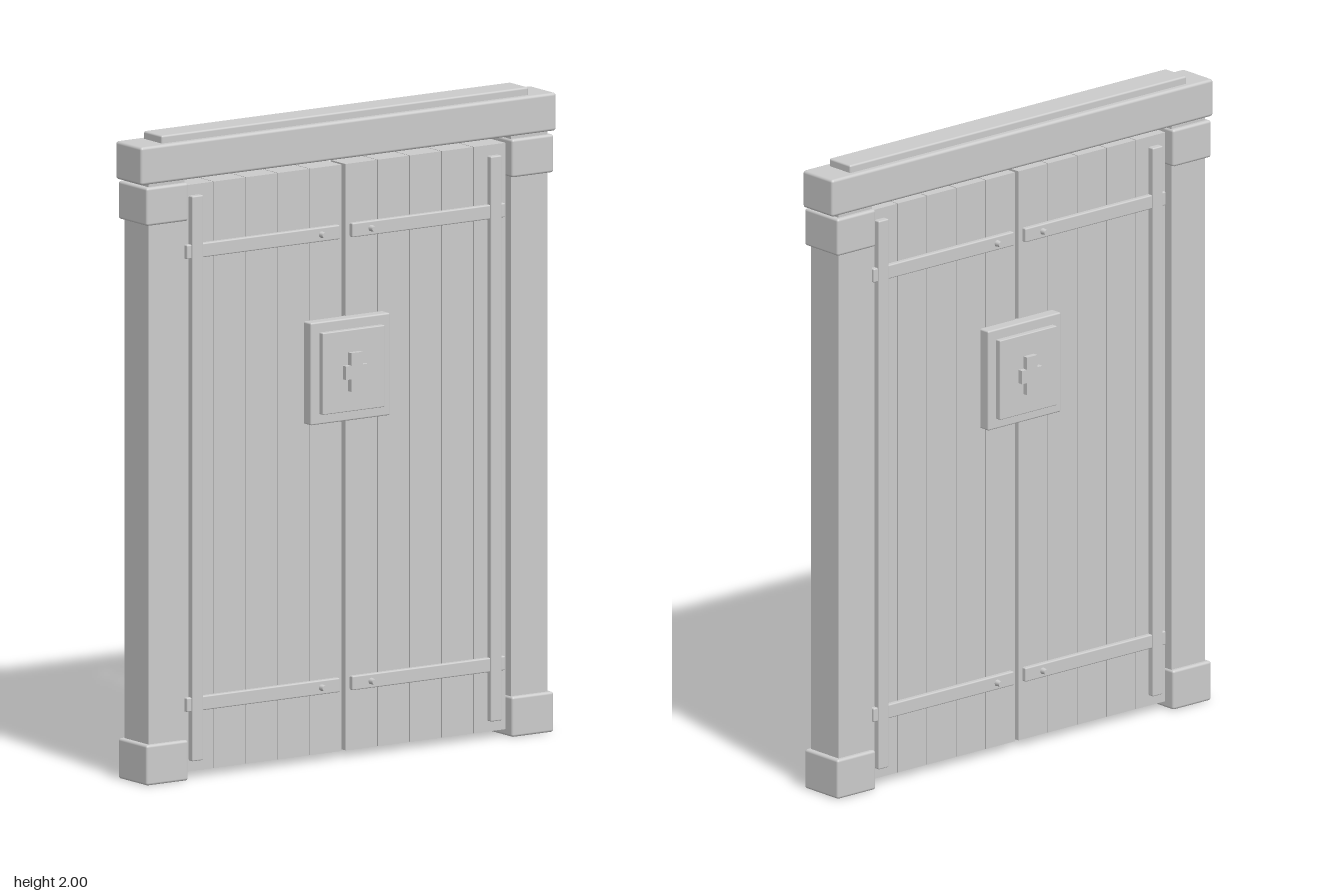
import * as THREE from 'three';
import { RoundedBoxGeometry } from 'three/addons/geometries/RoundedBoxGeometry.js';

const material = new THREE.MeshStandardMaterial({ color: 0xcccccc });

function add(parent, name, geometry, x = 0, y = 0, z = 0) {
  const mesh = new THREE.Mesh(geometry, material);
  mesh.name = name;
  mesh.position.set(x, y, z);
  parent.add(mesh);
  return mesh;
}

// Box given by its limits; an optional bevel softens the edges.
function block(parent, name, [x0, x1], [y0, y1], [z0, z1], bevel = 0) {
  const w = x1 - x0, h = y1 - y0, d = z1 - z0;
  const geometry = bevel
    ? new RoundedBoxGeometry(w, h, d, 2, bevel)
    : new THREE.BoxGeometry(w, h, d);
  return add(parent, name, geometry, (x0 + x1) / 2, (y0 + y1) / 2, (z0 + z1) / 2);
}

// Limits mirrored to the given side.
const span = (side, a, b) => (side > 0 ? [a, b] : [-b, -a]);

function createFrame() {
  const frame = new THREE.Group();
  frame.name = 'frame';
  for (const side of [-1, 1]) {
    block(frame, 'post', span(side, 0.605, 0.74), [0.02, 1.86], [-0.063, 0.063]);
    block(frame, 'postBase', span(side, 0.6, 0.755), [0, 0.125], [-0.077, 0.077], 0.008);
    block(frame, 'postCap', span(side, 0.6, 0.755), [1.732, 1.85], [-0.077, 0.077], 0.008);
  }
  block(frame, 'lintel', [-0.77, 0.77], [1.858, 1.976], [-0.069, 0.069], 0.009);
  block(frame, 'lintelTop', [-0.68, 0.68], [1.97, 2], [-0.049, 0.049], 0.006);
  return frame;
}

// One door leaf: a core covered by five planks with fine seams.
function createLeaf(side) {
  const leaf = new THREE.Group();
  leaf.name = side > 0 ? 'leftDoor' : 'rightDoor';
  const inner = 0.007, outer = 0.6, count = 5, seam = 0.0015;
  const width = (outer - inner) / count;
  block(leaf, 'doorCore', span(side, inner + 0.002, outer - 0.002), [0.022, 1.833], [-0.032, 0.032]);
  for (let i = 0; i < count; i++) {
    const a = inner + i * width + (i ? seam : 0);
    const b = inner + (i + 1) * width - (i < count - 1 ? seam : 0);
    block(leaf, 'plank', span(side, a, b), [0.02, 1.835], [-0.04, 0.04]);
  }
  return leaf;
}

// Ironwork of one face of the doors, built facing +z.
function createIronwork(name) {
  const iron = new THREE.Group();
  iron.name = name;
  for (const side of [-1, 1]) {
    block(iron, 'hingeBar', span(side, 0.533, 0.574), [0.053, 1.802], [0.035, 0.06], 0.004);
    for (const y of [0.228, 1.63]) {
      block(iron, 'hingeStrap', span(side, 0.023, 0.59), [y - 0.022, y + 0.022], [0.035, 0.055], 0.004);
      const rivet = add(iron, 'rivet', new THREE.CylinderGeometry(0.008, 0.011, 0.024, 12), side * 0.092, y, 0.06);
      rivet.rotation.x = Math.PI / 2;
    }
  }

  // Lock plates in two steps
  block(iron, 'lockPlate', [-0.147, 0.147], [1.048, 1.365], [0.03, 0.077], 0.005);
  block(iron, 'lockPanel', [-0.115, 0.115], [1.08, 1.333], [0.07, 0.095], 0.003);

  // Raised cross, traced one quarter at a time
  const w = 0.041, h = 0.06, t = 0.021;
  const cross = new THREE.Shape([
    [t, -h], [t, -t], [w, -t], [w, t], [t, t], [t, h],
    [-t, h], [-t, t], [-w, t], [-w, -t], [-t, -t], [-t, -h],
  ].map(([x, y]) => new THREE.Vector2(x, y)));
  add(iron, 'cross', new THREE.ExtrudeGeometry(cross, { depth: 0.022, bevelEnabled: false }), 0, 1.204, 0.09);
  return iron;
}

export function createModel() {
  const gate = new THREE.Group();
  gate.name = 'doubleDoor';
  gate.add(createFrame(), createLeaf(-1), createLeaf(1));
  const back = createIronwork('backIronwork');
  back.rotation.y = Math.PI;
  gate.add(createIronwork('frontIronwork'), back);
  return gate;
}
